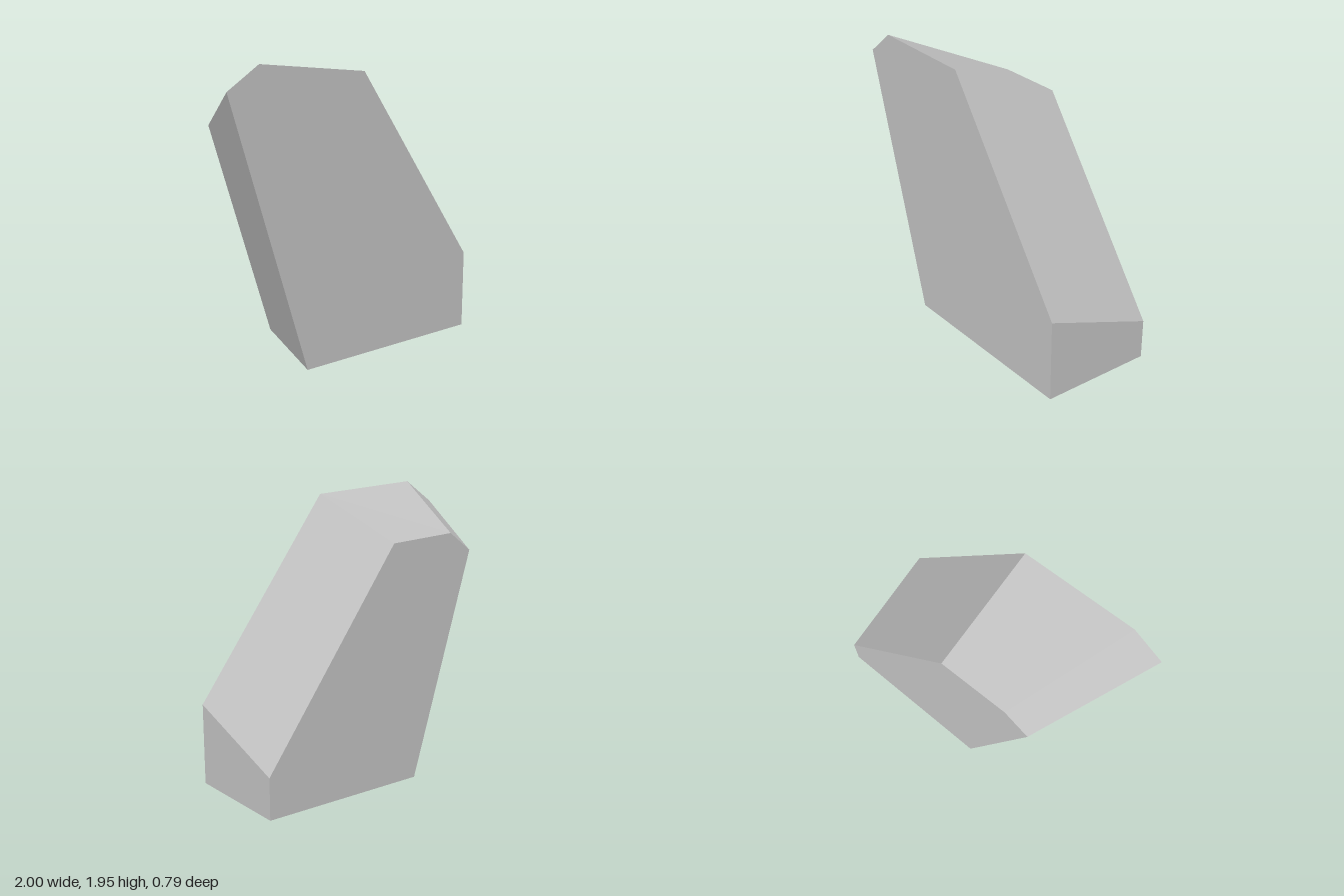
import * as THREE from 'three';

// Matching outlines of the two end faces, counter-clockwise seen from the front
const FRONT = [[-0.43, 0], [1, 0], [1, 0.545], [0.03, 1.88], [-0.775, 1.945], [-1, 1.795]];
const BACK = [[-0.165, 0], [1, 0], [1, 0.27], [0.03, 1.605], [-0.465, 1.64], [-0.645, 1.515]];
const HALF_DEPTH = 0.393;

// Flat-faced solid joining two outlines with the same number of corners
function loft(front, back, halfDepth) {
  const n = front.length;
  const f = front.map(([x, y]) => new THREE.Vector3(x, y, halfDepth));
  const b = back.map(([x, y]) => new THREE.Vector3(x, y, -halfDepth));
  const corners = [];
  for (let i = 0; i < n; i++) {
    const j = (i + 1) % n;
    corners.push(f[i], b[i], b[j], f[i], b[j], f[j]);
  }
  for (let i = 1; i < n - 1; i++) {
    corners.push(f[0], f[i], f[i + 1], b[0], b[i + 1], b[i]);
  }
  const geometry = new THREE.BufferGeometry().setFromPoints(corners);
  geometry.computeVertexNormals();
  return geometry;
}

export function createModel() {
  const stone = new THREE.MeshStandardMaterial({ color: 0xc0c0c0, flatShading: true });
  stone.name = 'light grey';

  // Leaning block with a sloping, bevelled top
  const block = new THREE.Mesh(loft(FRONT, BACK, HALF_DEPTH), stone);
  block.name = 'leaningBlock';

  const model = new THREE.Group();
  model.name = 'facetedBlock';
  model.add(block);
  return model;
}
